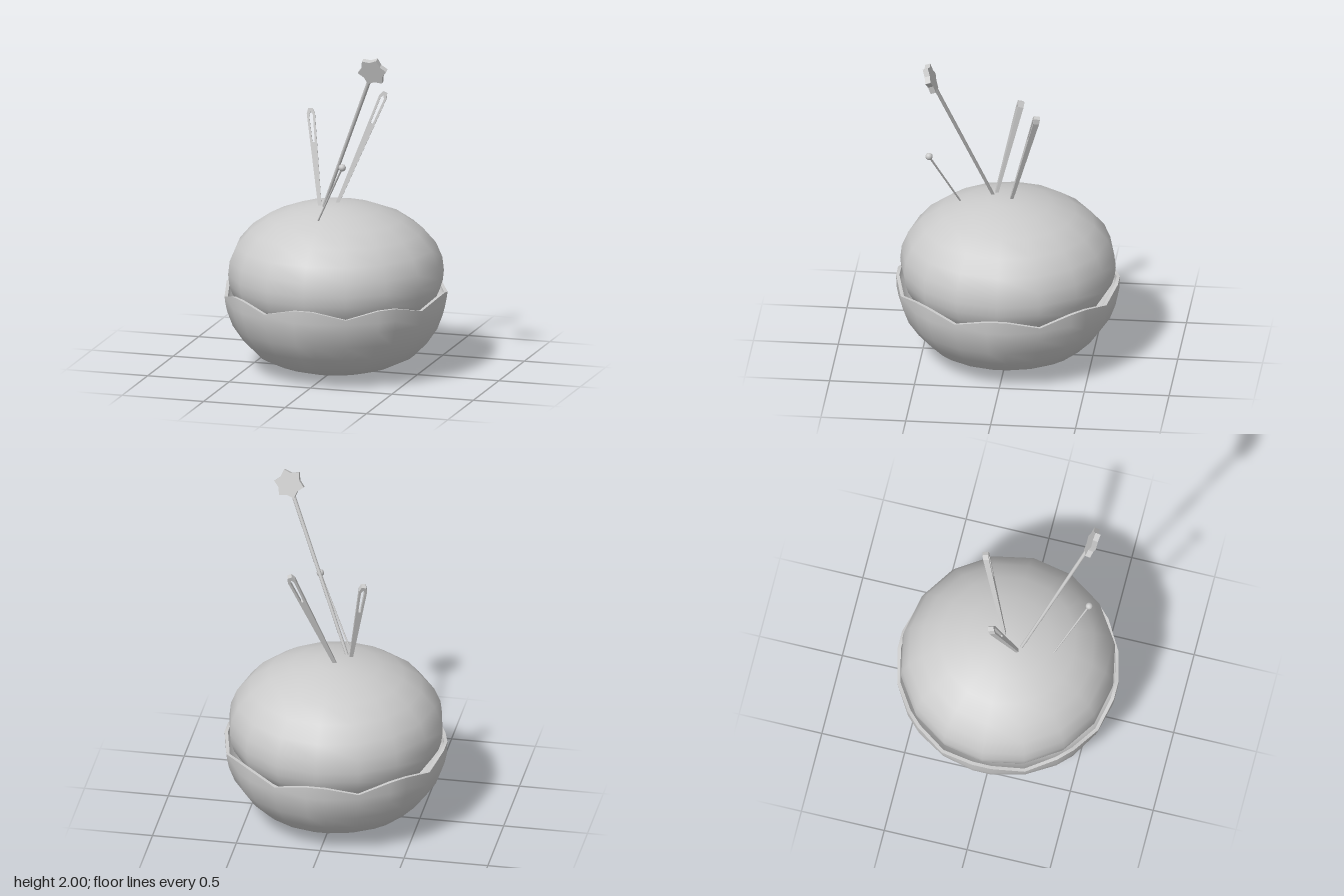
import * as THREE from 'three';
import { mergeVertices } from 'three/addons/utils/BufferGeometryUtils.js';

const material = new THREE.MeshStandardMaterial({ color: 0xcccccc, side: THREE.DoubleSide });
const V = (x, y, z) => new THREE.Vector3(x, y, z);

function mesh(geometry, name) {
  const m = new THREE.Mesh(geometry, material);
  m.name = name;
  return m;
}

// Welds the seam so the shading runs smoothly all the way round
function smooth(geometry) {
  geometry.deleteAttribute('uv');
  geometry.deleteAttribute('normal');
  const g = mergeVertices(geometry, 1e-5);
  g.computeVertexNormals();
  return g;
}

function lathe(profile, segments) {
  return new THREE.LatheGeometry(profile.map(p => new THREE.Vector2(...p)), segments);
}

// Bowl surface: 8 scallops, each with two crest points and one dip.
// Profile points marked with y = RIM follow the scalloped edge.
const RIM = 0.495;
function bowlSurface(profile) {
  const g = lathe(profile, 24);
  const pos = g.attributes.position;
  for (let i = 0; i <= 24; i++) {
    const k = i % 3; // 0: before crest, 1: after crest, 2: dip
    const angle = THREE.MathUtils.degToRad(Math.floor(i / 3) * 45 + [-5, 5, 22.5][k]);
    profile.forEach(([r, y], j) => {
      const height = y === RIM && k === 2 ? 0.45 : y;
      pos.setXYZ(i * profile.length + j, r * Math.sin(angle), height, r * Math.cos(angle));
    });
  }
  return smooth(g);
}

// Stands an object built along +y from base to tip, its +z face turned to 'facing'
function place(object, base, tip, facing) {
  const y = tip.clone().sub(base).normalize();
  const x = y.clone().cross(facing).normalize();
  const z = x.clone().cross(y);
  object.quaternion.setFromRotationMatrix(new THREE.Matrix4().makeBasis(x, y, z));
  object.position.copy(base);
  return object;
}

// Tapered sewing needle with a slotted eye
function needle(name, base, tip, facing) {
  const length = base.distanceTo(tip), w = 0.024;
  const s = new THREE.Shape();
  s.moveTo(-0.008, -0.1);
  s.lineTo(0.008, -0.1);
  s.lineTo(w, length - 0.03);
  s.lineTo(w * 0.55, length);
  s.lineTo(-w * 0.55, length);
  s.lineTo(-w, length - 0.03);
  s.closePath();
  const eye = new THREE.Path();
  eye.moveTo(0, length - 0.02);
  eye.lineTo(-0.011, length - 0.04);
  eye.lineTo(-0.007, length - 0.2);
  eye.lineTo(0.007, length - 0.2);
  eye.lineTo(0.011, length - 0.04);
  eye.closePath();
  s.holes.push(eye);
  const g = new THREE.ExtrudeGeometry(s, { depth: 1, bevelEnabled: false });
  g.translate(0, 0, -0.5);
  // Thickness grows towards the eye
  const pos = g.attributes.position;
  for (let i = 0; i < pos.count; i++) {
    pos.setZ(i, pos.getZ(i) * (0.018 + 0.017 * pos.getY(i) / length));
  }
  g.computeVertexNormals();
  return place(mesh(g, name), base, tip, facing);
}

// Straight pin: a thin shaft carrying a head at its tip
function pin(name, base, tip, facing, radius, headGeometry) {
  const group = new THREE.Group();
  group.name = name;
  const length = base.distanceTo(tip);
  const shaft = mesh(new THREE.CylinderGeometry(radius, radius * 0.8, length + 0.1, 8), name + 'Shaft');
  shaft.position.y = length / 2 - 0.05;
  const head = mesh(headGeometry, name + 'Head');
  head.position.y = length;
  group.add(shaft, head);
  return place(group, base, tip, facing);
}

function starGeometry() {
  const s = new THREE.Shape();
  for (let i = 0; i < 12; i++) {
    const a = Math.PI / 2 + i * Math.PI / 6, r = i % 2 ? 0.066 : 0.09;
    s[i ? 'lineTo' : 'moveTo'](r * Math.cos(a), r * Math.sin(a));
  }
  s.closePath();
  const g = new THREE.ExtrudeGeometry(s, { depth: 0.032, bevelEnabled: false });
  return g.translate(0, 0, -0.016);
}

export function createModel() {
  const model = new THREE.Group();
  model.name = 'pincushion';

  // Stuffed cushion
  model.add(mesh(smooth(lathe([
    [0.5, 0.36], [0.575, 0.41], [0.61, 0.465], [0.628, 0.52], [0.635, 0.58], [0.626, 0.66],
    [0.588, 0.75], [0.51, 0.84], [0.4, 0.915], [0.26, 0.968], [0.12, 0.997], [0, 1.0],
  ], 16)), 'cushion'));

  // Scalloped bowl: outside, rim edge, inside and base
  const bowl = new THREE.Group();
  bowl.name = 'bowl';
  bowl.add(
    mesh(bowlSurface([
      [0.12, 0], [0.25, 0.018], [0.36, 0.05], [0.465, 0.1], [0.545, 0.18],
      [0.607, 0.27], [0.641, 0.36], [0.653, 0.42], [0.656, RIM],
    ]), 'bowlOutside'),
    mesh(bowlSurface([[0.656, RIM], [0.636, RIM]]), 'bowlRim'),
    mesh(bowlSurface([[0.636, RIM], [0.632, 0.42], [0.57, 0.37]]), 'bowlInside'),
  );
  const base = mesh(new THREE.CircleGeometry(0.12, 24), 'bowlBase');
  base.rotation.x = Math.PI / 2;
  bowl.add(base);
  model.add(bowl);

  // Needles and pins
  model.add(
    needle('shortNeedle', V(-0.077, 1.0, 0.073), V(-0.176, 1.545, -0.06), V(0.3, 0, 1)),
    needle('longNeedle', V(0.005, 1.0, -0.022), V(0.24, 1.64, -0.195), V(0.25, 0.2, 1)),
    pin('starPin', V(-0.045, 1.0, 0.095), V(0.357, 1.92, 0.42), V(0, -0.27, 0.96), 0.012, starGeometry()),
    pin('ballPin', V(-0.022, 0.955, 0.282), V(0.178, 1.33, 0.447), V(0, 0, 1), 0.006,
      new THREE.SphereGeometry(0.022, 12, 8)),
  );
  return model;
}
